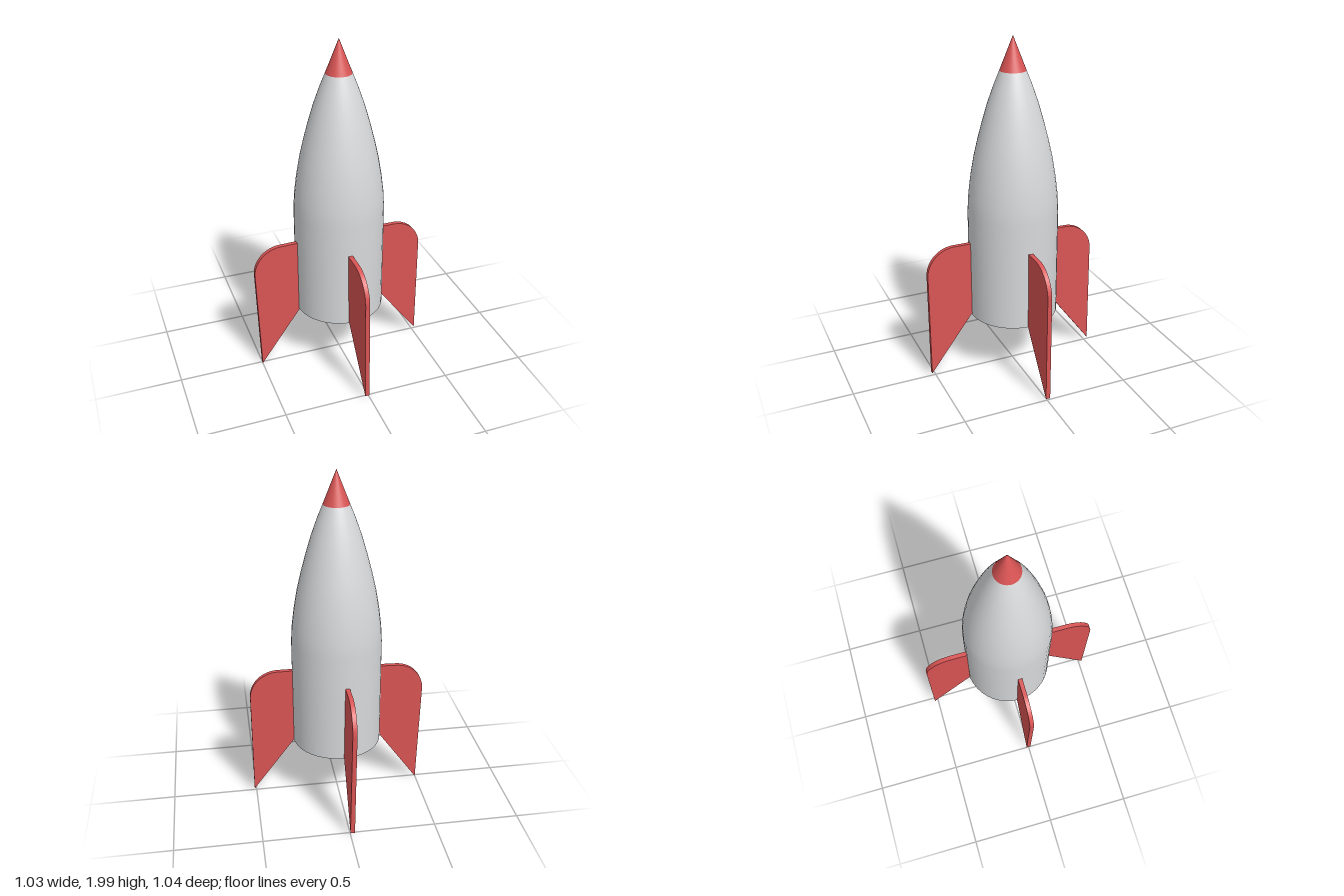
import * as THREE from 'three';

export function createModel() {
  const silver = new THREE.MeshStandardMaterial({ color: 0xd6d8da });
  silver.name = 'silver';
  const red = new THREE.MeshStandardMaterial({ color: 0xd95454 });
  red.name = 'red';

  const model = new THREE.Group();
  model.name = 'rocket';
  const SIDES = 40;

  const add = (parent, name, geometry, material) => {
    const mesh = new THREE.Mesh(geometry, material);
    mesh.name = name;
    parent.add(mesh);
    return mesh;
  };

  // Hull: straight lower tube curving into a tapered shoulder
  const hull = new THREE.Group();
  hull.name = 'hull';
  hull.position.set(0.001, 0, -0.004);
  model.add(hull);
  const profile = [
    [0.261, 0.36], [0.261, 0.7], [0.261, 1.0], [0.255, 1.1], [0.241, 1.21], [0.222, 1.32],
    [0.199, 1.42], [0.173, 1.52], [0.141, 1.63], [0.106, 1.73], [0.074, 1.81],
  ].map(([r, y]) => new THREE.Vector2(r, y));
  add(hull, 'hullWall', new THREE.LatheGeometry(profile, SIDES), silver);

  // Flat base plate facing down
  const base = add(hull, 'basePlate', new THREE.CircleGeometry(0.261, SIDES), silver);
  base.rotation.x = Math.PI / 2;
  base.position.y = 0.36;

  // Nose cone
  const nose = add(hull, 'noseCone', new THREE.ConeGeometry(0.074, 0.19, SIDES, 1), red);
  nose.position.y = 1.905;

  // Fin: rounded upper corner, swept-down pointed foot, root buried in the hull
  const R = 0.165, OUT = 0.512, TOP = 0.825;
  const outline = new THREE.Shape();
  outline.moveTo(0.22, 0.414);
  outline.lineTo(OUT, 0.025);
  outline.lineTo(OUT, TOP - R);
  outline.absarc(OUT - R, TOP - R, R, 0, Math.PI / 2, false);
  outline.lineTo(0.22, TOP);
  outline.closePath();
  const THICK = 0.026;
  const finGeometry = new THREE.ExtrudeGeometry(outline, {
    depth: THICK, bevelEnabled: false, curveSegments: 10,
  });
  finGeometry.translate(0, 0, -THICK / 2);

  // Four fins, each with its own heading, slight lean and offset
  const fins = [
    { name: 'leftFin', turn: 0, lean: 0, at: [0, 0, 0] },
    { name: 'rightFin', turn: Math.PI, lean: 0.03, at: [0.013, -0.002, 0] },
    { name: 'frontFin', turn: -Math.PI / 2, lean: 0.0125, at: [-0.012, -0.005, 0.008] },
    { name: 'backFin', turn: Math.PI / 2, lean: 0.0125, at: [-0.012, -0.005, -0.01] },
  ];
  for (const { name, turn, lean, at } of fins) {
    const mount = new THREE.Group();
    mount.name = name;
    mount.position.set(...at);
    mount.rotation.z = lean;
    add(mount, name + 'Blade', finGeometry, red).rotation.y = turn;
    model.add(mount);
  }

  return model;
}
